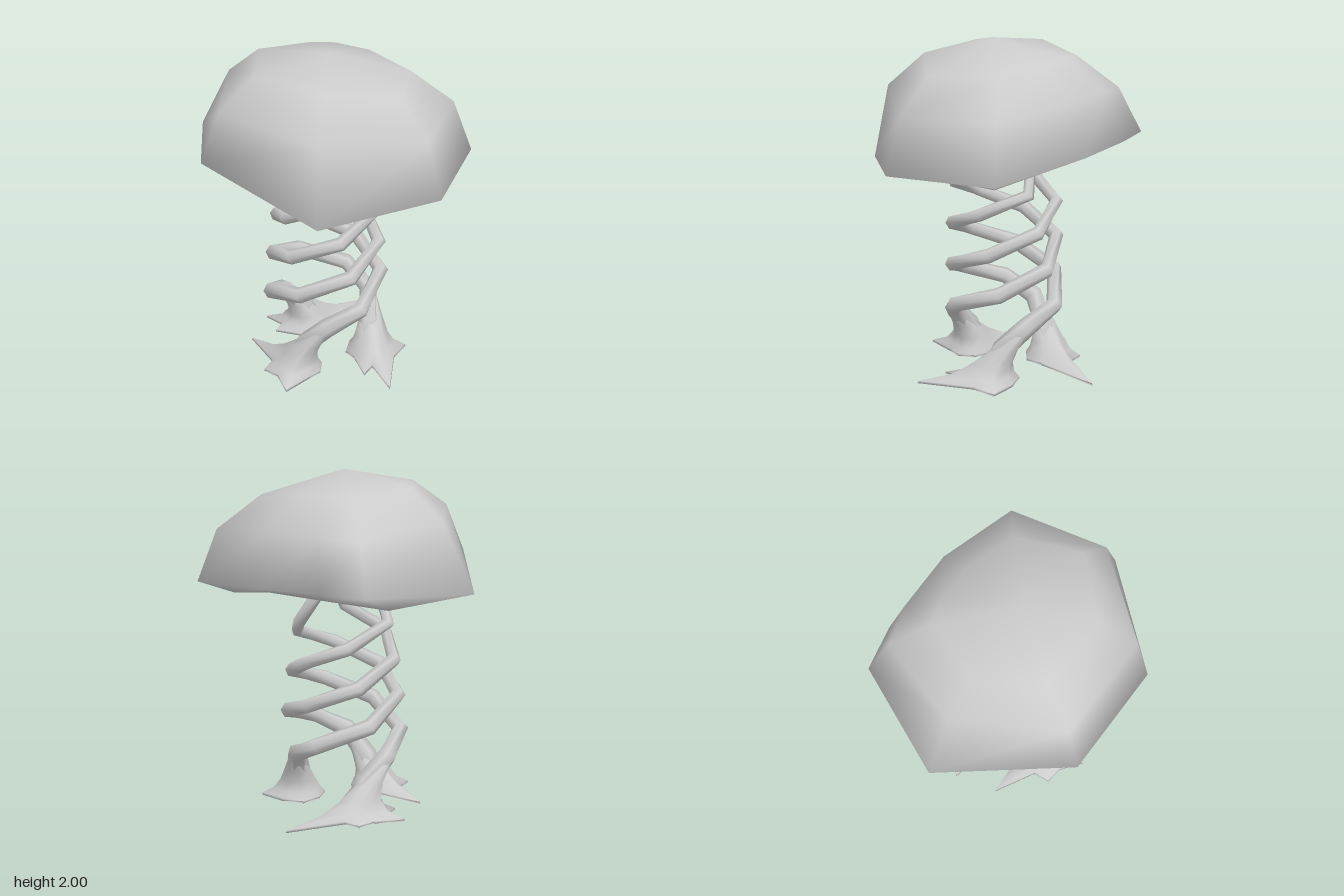
import * as THREE from 'three';
import { mergeVertices } from 'three/addons/utils/BufferGeometryUtils.js';

const material = new THREE.MeshStandardMaterial({ color: 0xcccccc });
const RAD = Math.PI / 180;

// Skin a stack of equal-sized closed rings, ordered counter-clockwise about the path
function loft(rings) {
  const n = rings[0].length;
  const index = [];
  for (let i = 0; i < rings.length - 1; i++) {
    for (let j = 0; j < n; j++) {
      const a = i * n + j, b = i * n + (j + 1) % n;
      index.push(a, b, b + n, a, b + n, a + n);
    }
  }
  const geometry = new THREE.BufferGeometry().setFromPoints(rings.flat());
  geometry.setIndex(index);
  const merged = mergeVertices(geometry, 1e-4);
  merged.computeVertexNormals();
  return merged;
}

function addMesh(parent, name, geometry) {
  const mesh = new THREE.Mesh(geometry, material);
  mesh.name = name;
  parent.add(mesh);
}

// Point at an angle measured from the front (+z) towards +x
const polar = (deg, r, y) => new THREE.Vector3(r * Math.sin(deg * RAD), y, r * Math.cos(deg * RAD));

// Six-sided tube with angular bends along a path around the y axis
function strand(path, radii) {
  const rings = path.map((p, i) => {
    const before = path[Math.max(i - 1, 0)], after = path[Math.min(i + 1, path.length - 1)];
    const t = after.clone().sub(before).normalize();
    const out = new THREE.Vector3(p.x, 0, p.z);
    const u = out.addScaledVector(t, -out.dot(t)).normalize();
    const v = t.clone().cross(u);
    return Array.from({ length: 6 }, (_, j) => p.clone()
      .addScaledVector(u, radii[i] * Math.cos(j * Math.PI / 3))
      .addScaledVector(v, radii[i] * Math.sin(j * Math.PI / 3)));
  });
  const cap = (p) => Array.from({ length: 6 }, () => p.clone());
  return loft([cap(path[0]), ...rings, cap(path[path.length - 1])]);
}

// Flared foot: root tips given as [angle, reach], with a hollow between each pair
function foot(center, lean, tips) {
  const spokes = tips.flatMap(([angle, reach], i) => {
    const [nextAngle, nextReach] = tips[(i + 1) % tips.length];
    const gap = (nextAngle - angle + 360) % 360;
    return [[angle, reach], [angle + gap / 2, 0.09 + 0.38 * Math.min(reach, nextReach)]];
  });
  const ring = (y, base, share, bend) => spokes.map(([angle, reach]) =>
    polar(angle, base + reach * share, y).add(center).addScaledVector(lean, bend));
  return loft([
    ring(0.08, 0, 0, 0),
    ring(0, 0, 1, 0),
    ring(0.015, 0, 0.98, 0),
    ring(0.05, 0.06, 0.42, 0),
    ring(0.11, 0.075, 0.16, 0.1),
    ring(0.2, 0.07, 0.03, 0.45),
    ring(0.3, 0.04, 0, 1),
  ]);
}

export function createModel() {
  const model = new THREE.Group();

  // Cap: lopsided dome, seven-sided apart from a fuller back, with a nearly flat underside
  const under = [[-0.55, 1.35, 0.05], [-0.2, 1.37, 0.42], [0.34, 1.29, 0.44], [0.62, 1.3, 0],
    [0.5, 1.28, -0.46], [0.2, 1.33, -0.48], [-0.2, 1.34, -0.46], [-0.52, 1.3, -0.27]];
  const rim = [[-0.84, 1.38, 0.08], [-0.31, 1.48, 0.69], [0.43, 1.26, 0.61], [0.84, 1.33, 0.03],
    [0.65, 1.35, -0.61], [0.02, 1.41, -0.69], [-0.36, 1.43, -0.65], [-0.62, 1.43, -0.57]];
  const shoulder = [[-0.63, 1.76, 0.06], [-0.26, 1.76, 0.58], [0.38, 1.7, 0.53], [0.74, 1.64, 0.02],
    [0.56, 1.66, -0.53], [0.08, 1.71, -0.61], [-0.28, 1.72, -0.57], [-0.5, 1.7, -0.49]];
  const crown = [[-0.42, 1.93, 0.04], [-0.18, 1.92, 0.36], [0.27, 1.9, 0.33], [0.55, 1.84, 0.0],
    [0.37, 1.86, -0.35], [0.05, 1.9, -0.4], [-0.18, 1.9, -0.38], [-0.31, 1.89, -0.33]];
  const toRing = (list) => list.map((p) => new THREE.Vector3(...p));
  const pole = (x, y, z) => rim.map(() => new THREE.Vector3(x, y, z));
  addMesh(model, 'cap', loft([pole(0, 1.36, 0), ...[under, rim, shoulder, crown].map(toRing),
    pole(0.05, 2, 0)]));

  // Stem: three intertwined strands, steep at the foot and coiling above
  const stem = new THREE.Group();
  stem.name = 'stem';
  stem.position.z = -0.055;
  model.add(stem);

  const rootTips = [
    [[21, 0.28], [98, 0.15], [180, 0.14], [262, 0.43], [318, 0.22]],
    [[28, 0.3], [50, 0.45], [135, 0.23], [232, 0.16], [320, 0.16]],
    [[70, 0.15], [164, 0.5], [220, 0.2], [290, 0.29], [329, 0.23]],
  ];
  rootTips.forEach((tips, k) => {
    const start = k * 120;
    const path = [polar(start, 0.27, 0.08), polar(start + 10, 0.27, 0.19), polar(start + 38, 0.31, 0.34)];
    const radii = [0.07, 0.066, 0.058];
    for (let i = 0; i < 7; i++) {
      path.push(polar(start + 74 + i * 54.5, 0.34 - i * 0.007, 0.44 + i * 0.117));
      radii.push(0.05 - i * 0.002);
    }
    path.push(polar(start + 427, 0.19, 1.37));
    radii.push(0.034);
    addMesh(stem, 'strand', strand(path, radii));

    const base = polar(start, 0.28, 0);
    const lean = polar(start + 32, 0.31, 0).sub(base);
    addMesh(stem, 'rootFoot', foot(base, lean, tips));
  });

  return model;
}
